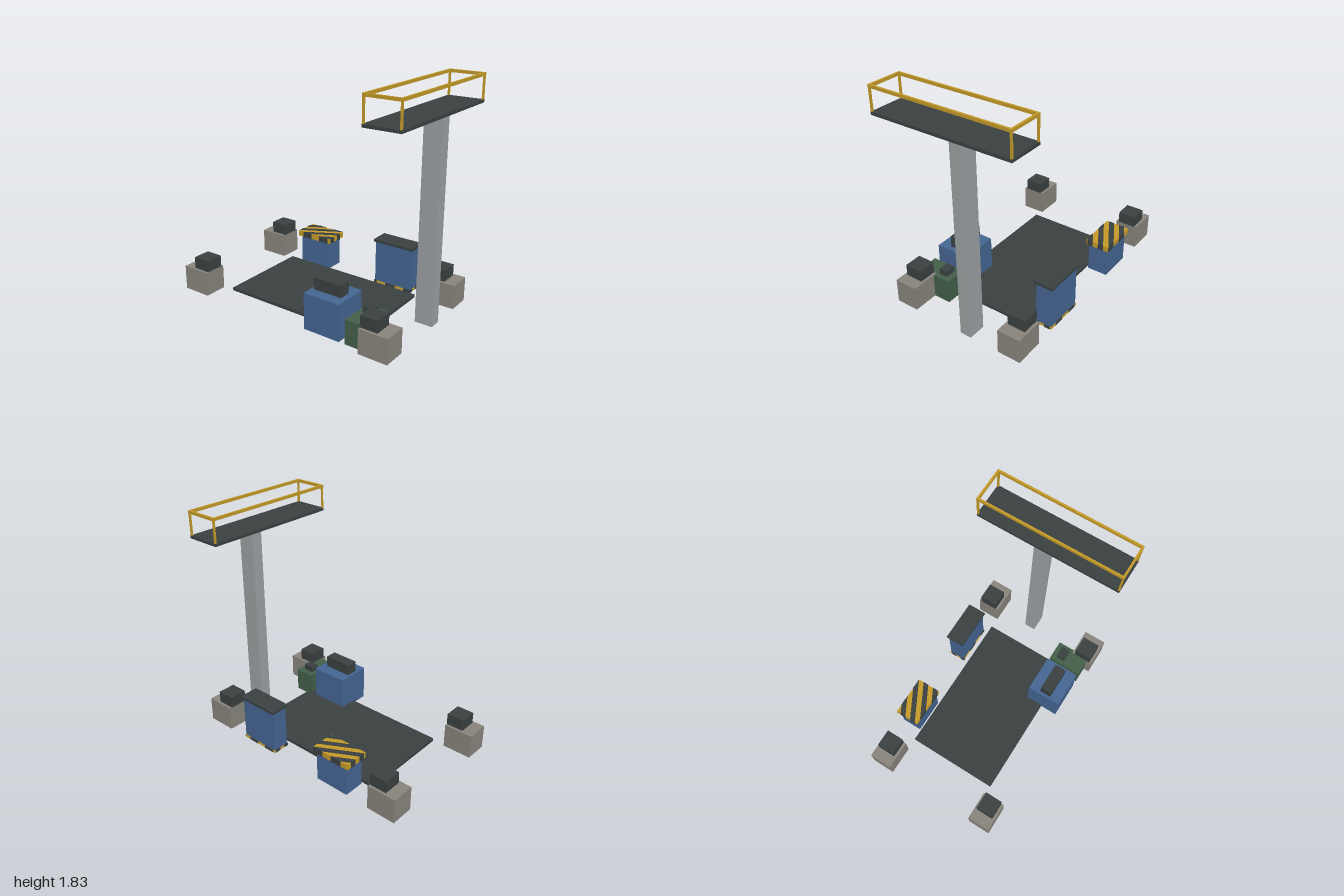
import * as THREE from 'three';

function mat(name, color) {
  const m = new THREE.MeshStandardMaterial({ color });
  m.name = name;
  return m;
}

export function createModel() {
  const group = new THREE.Group();
  const dark = mat('dark steel', 0x3a4141);
  const yellow = mat('safety yellow', 0xc49a28);
  const blue = mat('machine blue', 0x446592);
  const green = mat('machine green', 0x435f48);
  const steel = mat('column grey', 0x9aa0a2);
  const stone = mat('concrete', 0x88847c);

  // Axis-aligned box given by its limits on each axis
  function box(name, m, [x0, x1], [y0, y1], [z0, z1], parent = group) {
    const mesh = new THREE.Mesh(new THREE.BoxGeometry(x1 - x0, y1 - y0, z1 - z0), m);
    mesh.position.set((x0 + x1) / 2, (y0 + y1) / 2, (z0 + z1) / 2);
    mesh.name = name;
    parent.add(mesh);
    return mesh;
  }

  // Keep the part of a polygon where side * (z + slope * x - limit) >= 0
  function clip(points, slope, limit, side) {
    const out = [];
    const d = p => side * (p.y + slope * p.x - limit);
    points.forEach((p, i) => {
      const q = points[(i + 1) % points.length];
      if (d(p) >= 0) out.push(p);
      if (d(p) * d(q) < 0) out.push(p.clone().lerp(q, d(p) / (d(p) - d(q))));
    });
    return out;
  }

  // Yellow slab with diagonal dark bands wrapping round all of its faces
  function hazardSlab(name, xs, ys, zs) {
    const slab = new THREE.Group();
    slab.name = name;
    group.add(slab);
    box('hazardBase', yellow, xs, ys, zs, slab);
    const e = 0.002;
    const w = (xs[1] - xs[0]) / 2 + e, h = (zs[1] - zs[0]) / 2 + e;
    const rect = [[-w, -h], [w, -h], [w, h], [-w, h]].map(p => new THREE.Vector2(...p));
    for (let i = 0; i < 4; i++) {
      const start = -0.155 + i * 0.0963;
      const band = clip(clip(rect, 0.55, start, 1), 0.55, start + 0.048, -1);
      if (band.length < 3) continue;
      const depth = ys[1] - ys[0] + 2 * e;
      const geo = new THREE.ExtrudeGeometry(new THREE.Shape(band), { depth, bevelEnabled: false });
      geo.rotateX(Math.PI / 2);
      const mesh = new THREE.Mesh(geo, dark);
      mesh.position.set((xs[0] + xs[1]) / 2, ys[1] + e, (zs[0] + zs[1]) / 2);
      mesh.name = 'hazardStripe';
      slab.add(mesh);
    }
  }

  // Floor plate
  box('floorPlate', dark, [-0.66, 0.605], [0, 0.025], [-0.385, 0.395]);

  // Four corner blocks, each with a smaller unit on top
  for (const [x, tx] of [[-1, -0.905], [0.705, 0.705]]) {
    for (const z of [-0.578, 0.398]) {
      const corner = new THREE.Group();
      corner.name = 'cornerBlock';
      group.add(corner);
      box('blockBase', stone, [x, x + 0.24], [0, 0.2], [z, z + 0.192], corner);
      box('blockTop', dark, [tx, tx + 0.145], [0.2, 0.295], [z + 0.022, z + 0.17], corner);
    }
  }

  // Column and raised platform
  box('column', steel, [0.8, 0.945], [0, 1.612], [-0.138, -0.042]);
  const px = [0.708, 0.997], pz = [-0.577, 0.592];
  box('platform', dark, px, [1.612, 1.635], pz);

  // Platform railing: corner posts and a top rail all round
  const railing = new THREE.Group();
  railing.name = 'railing';
  group.add(railing);
  const t = 0.016;
  for (const x of [px[0], px[1] - t]) {
    box('longRail', yellow, [x, x + t], [1.807, 1.83], pz, railing);
    for (const z of [pz[0], pz[1] - t])
      box('railPost', yellow, [x + 0.001, x + t - 0.001], [1.635, 1.807], [z + 0.001, z + t - 0.001], railing);
  }
  for (const z of [pz[0], pz[1] - t])
    box('shortRail', yellow, [px[0] + t, px[1] - t], [1.807, 1.83], [z, z + t], railing);

  // Low cabinet with striped top
  box('lowCabinet', blue, [-0.56, -0.27], [0, 0.245], [-0.572, -0.402]);
  hazardSlab('stripedTop', [-0.583, -0.247], [0.247, 0.293], [-0.588, -0.387]);

  // Tall cabinet with lid and striped foot
  box('tallCabinet', blue, [0.197, 0.533], [0.02, 0.37], [-0.566, -0.432]);
  box('cabinetLid', dark, [0.184, 0.546], [0.37, 0.392], [-0.58, -0.42]);
  hazardSlab('stripedFoot', [0.192, 0.538], [0.002, 0.02], [-0.571, -0.427]);

  // Front console with control unit
  box('console', blue, [0.195, 0.51], [0, 0.295], [0.252, 0.54]);
  box('consoleUnit', dark, [0.218, 0.462], [0.295, 0.392], [0.35, 0.447]);

  // Green cabinet with small unit, on a thin base plate
  box('greenCabinet', green, [0.562, 0.735], [0.001, 0.198], [0.252, 0.54]);
  box('greenCabinetUnit', dark, [0.6, 0.692], [0.198, 0.246], [0.3, 0.372]);
  box('basePlate', dark, [0.545, 0.73], [0, 0.015], [0.28, 0.517]);

  return group;
}
